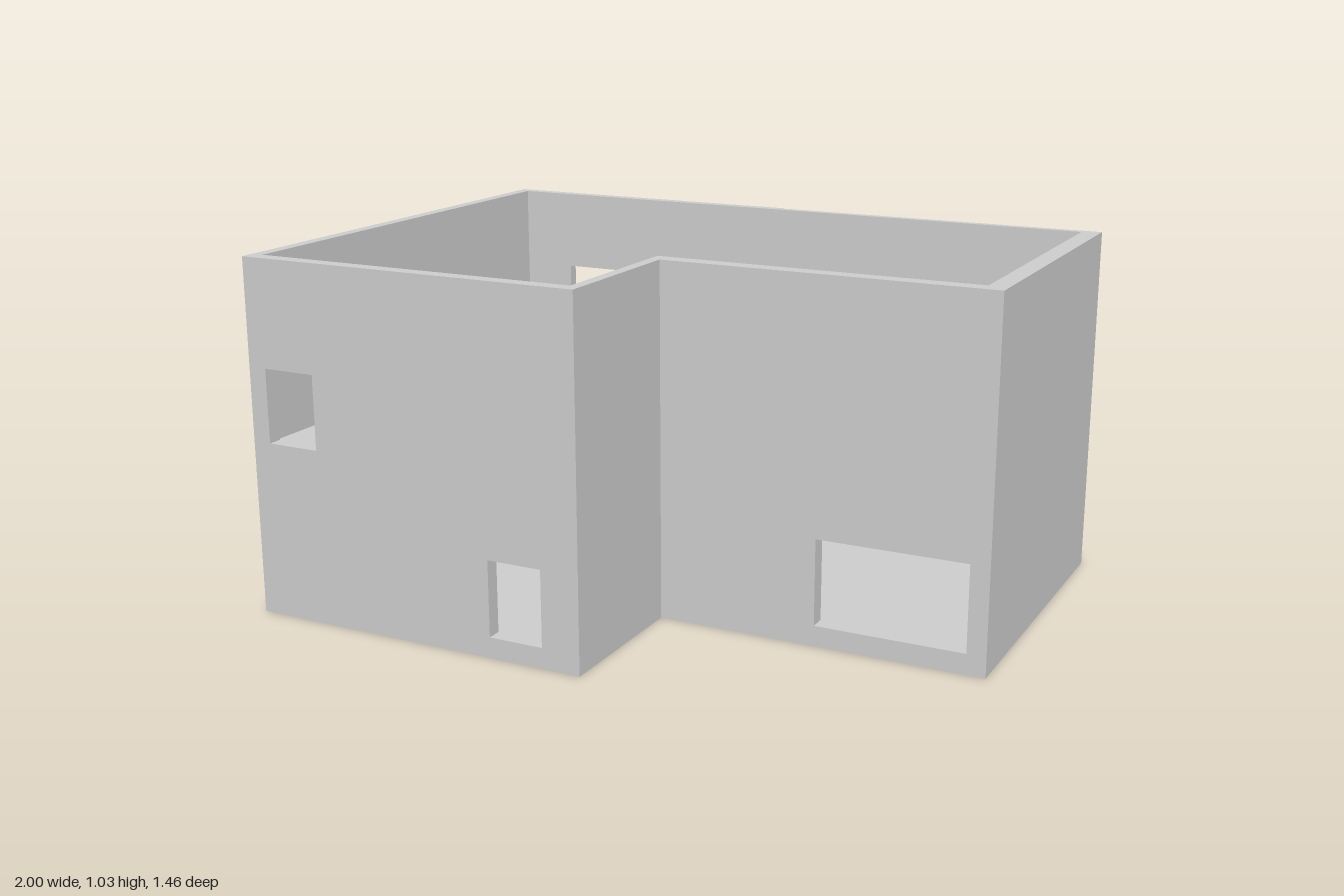
import * as THREE from 'three';

const material = new THREE.MeshStandardMaterial({ color: 0xcccccc, flatShading: true });
const TOP = 1.035, BASE = 0.04;

const points = (list) => list.map(([x, y]) => new THREE.Vector2(x, y));
const rect = (x0, x1, y0, y1) => [[x0, y0], [x1, y0], [x1, y1], [x0, y1]];
// L-shaped plan: back strip x0..x1 / z0..z1, front wing x0..xn / z1..z2
const plan = (x0, x1, xn, z0, z1, z2) =>
  [[x0, z0], [x1, z0], [x1, z1], [xn, z1], [xn, z2], [x0, z2]];

function extrude(outline, holes, depth) {
  const shape = new THREE.Shape(points(outline));
  for (const h of holes) shape.holes.push(new THREE.Path(points(h)));
  return new THREE.ExtrudeGeometry(shape, { depth, bevelEnabled: false });
}

export function createModel() {
  const house = new THREE.Group();
  house.name = 'houseShell';

  const add = (name, geometry) => {
    const mesh = new THREE.Mesh(geometry, material);
    mesh.name = name;
    house.add(mesh);
  };
  // Wall facing front or back, drawn in x/y and filled from z0 to z1
  const wall = (name, outline, holes, z0, z1) =>
    add(name, extrude(outline, holes, z1 - z0).translate(0, 0, z0));
  // Wall running along z
  const sideWall = (name, x0, x1, z0, z1) =>
    add(name, new THREE.BoxGeometry(x1 - x0, TOP - BASE, z1 - z0)
      .translate((x0 + x1) / 2, (TOP + BASE) / 2, (z0 + z1) / 2));
  // Horizontal slab, drawn in x/z and filled from y0 to y1
  const slab = (name, outline, holes, y0, y1) =>
    add(name, extrude(outline, holes, y1 - y0).rotateX(Math.PI / 2).translate(0, y1, 0));

  // Ground slab and upper floor with its L-shaped void
  slab('groundSlab', plan(-1, 1, 0.042, -0.72, 0.263, 0.728), [], 0, BASE);
  slab('upperFloor', plan(-0.965, 0.945, 0.01, -0.695, 0.215, 0.685),
    [plan(-0.76, 0.735, -0.2, -0.51, 0.01, 0.47)], 0.465, 0.505);

  // Front walls with windows
  wall('wingFrontWall', rect(-1, 0.042, BASE, TOP),
    [rect(-0.945, -0.785, 0.51, 0.725), rect(-0.235, -0.072, 0.06, 0.28)], 0.685, 0.728);
  wall('recessedFrontWall', rect(0.01, 1, BASE, TOP),
    [rect(0.512, 0.945, 0.06, 0.31)], 0.215, 0.263);

  // Side walls
  sideWall('rightEndWall', -1, -0.965, -0.695, 0.685);
  sideWall('leftEndWall', 0.945, 1, -0.695, 0.215);
  sideWall('wingSideWall', 0.01, 0.042, 0.263, 0.685);

  // Back wall with stepped opening
  wall('backWall', rect(-1, 1, BASE, TOP),
    [[[-0.972, 0.06], [-0.075, 0.06], [-0.075, 0.79], [-0.8, 0.79], [-0.8, 0.555], [-0.972, 0.555]]],
    -0.72, -0.695);
  // Slightly raised header above the opening
  wall('backHeader',
    [[-1, 0.555], [-0.8, 0.555], [-0.8, 0.79], [-0.025, 0.79], [-0.025, TOP], [-1, TOP]],
    [], -0.728, -0.72);

  return house;
}
